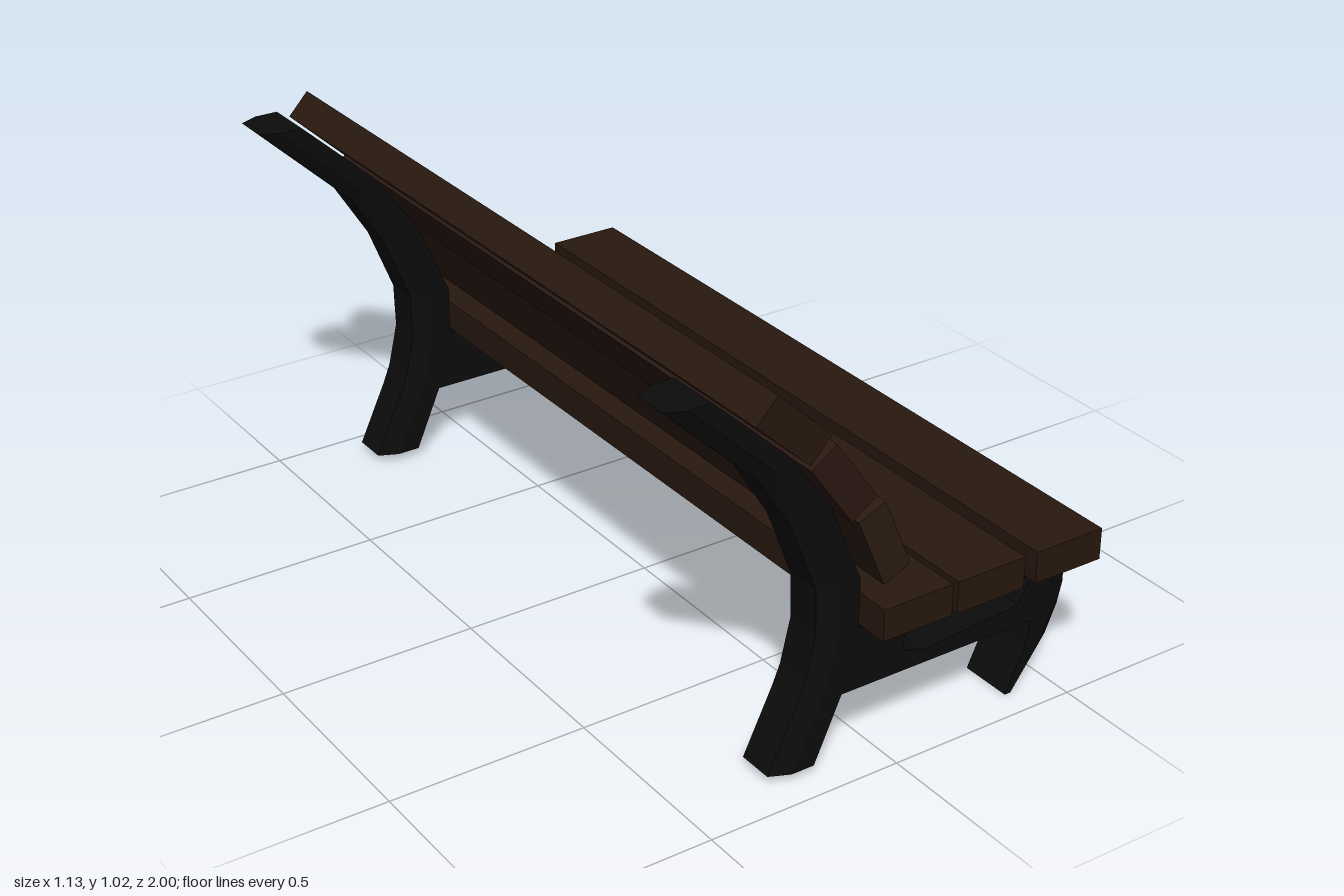
import * as THREE from 'three';

const iron = new THREE.MeshStandardMaterial({ color: 0x0c0c0c, flatShading: true });
const woods = [0x28180f, 0x2b1812, 0x2a1b12].map(
  (color) => new THREE.MeshStandardMaterial({ color, flatShading: true }));

const HALF = 0.0675; // half thickness of the iron frames
const BEVEL = 0.022;

// Leg lofted from bottom to top. Each station is [innerX, innerY, outerX, outerY];
// the outer edge is chamfered. Pass mirrored = true when the outer edge faces +x.
function legGeometry(stations, mirrored) {
  const section = [[0, -HALF], [0.55, -HALF], [1, -HALF + BEVEL],
    [1, HALF - BEVEL], [0.55, HALF], [0, HALF]];
  if (mirrored) section.reverse();
  const n = section.length;
  const pos = [];
  const index = [];
  for (const [ix, iy, ox, oy] of stations) {
    for (const [t, z] of section) pos.push(ix + (ox - ix) * t, iy + (oy - iy) * t, z);
  }
  for (let s = 0; s < stations.length - 1; s++) {
    for (let i = 0; i < n; i++) {
      const a = s * n + i, b = s * n + (i + 1) % n;
      index.push(a, b, b + n, a, b + n, a + n);
    }
  }
  const top = (stations.length - 1) * n;
  for (let i = 1; i < n - 1; i++) {
    index.push(0, i + 1, i, top, top + i, top + i + 1);
  }
  const g = new THREE.BufferGeometry();
  g.setAttribute('position', new THREE.Float32BufferAttribute(pos, 3));
  g.setIndex(index);
  const flat = g.toNonIndexed();
  flat.computeVertexNormals();
  return flat;
}

function addMesh(parent, name, geometry, material) {
  const mesh = new THREE.Mesh(geometry, material);
  mesh.name = name;
  parent.add(mesh);
  return mesh;
}

export function createModel() {
  const bench = new THREE.Group();
  bench.name = 'bench';

  // Curved rear upright: foot to back tip
  const upright = legGeometry([
    [-0.175, 0.02, -0.285, 0.02],
    [-0.105, 0.18, -0.21, 0.18],
    [-0.085, 0.23, -0.19, 0.23],
    [-0.065, 0.34, -0.165, 0.34],
    [-0.065, 0.46, -0.168, 0.455],
    [-0.15, 0.66, -0.235, 0.625],
    [-0.27, 0.825, -0.325, 0.77],
    [-0.46, 1.0, -0.567, 1.0],
  ], false);

  // Curved front leg tapering to the foot
  const frontLeg = legGeometry([
    [0.375, 0, 0.405, 0],
    [0.425, 0.11, 0.505, 0.11],
    [0.44, 0.18, 0.535, 0.18],
    [0.395, 0.235, 0.548, 0.235],
    [0.45, 0.338, 0.548, 0.338],
  ], true);

  // Horizontal rail with the bracket under the rear seat slat
  const railShape = new THREE.Shape([
    [-0.12, 0.18], [0.442, 0.18], [0.397, 0.235], [0.125, 0.215],
    [0.06, 0.235], [0.08, 0.338], [-0.08, 0.338],
  ].map(([x, y]) => new THREE.Vector2(x, y)));
  const rail = new THREE.ExtrudeGeometry(railShape, { depth: 2 * HALF, bevelEnabled: false });
  rail.translate(0, 0, -HALF);

  [['leftSideFrame', 0.86], ['rightSideFrame', -0.89]].forEach(([name, z]) => {
    const frame = new THREE.Group();
    frame.name = name;
    frame.position.z = z;
    addMesh(frame, 'rearUpright', upright, iron);
    addMesh(frame, 'frontLeg', frontLeg, iron);
    addMesh(frame, 'seatRail', rail, iron);
    bench.add(frame);
  });

  // Seat slats
  const seatSlat = new THREE.BoxGeometry(0.19, 0.08, 2);
  [0.04, 0.245, 0.47].forEach((x) => {
    addMesh(bench, 'seatSlat', seatSlat, woods[0]).position.set(x, 0.376, 0);
  });

  // Back slats: centre x, centre y, tilt, thickness
  [
    [-0.31, 0.925, -0.75, 0.078],
    [-0.177, 0.763, -0.95, 0.078],
    [-0.063, 0.584, -1.165, 0.076],
  ].forEach(([x, y, tilt, thick], i) => {
    const slat = addMesh(bench, 'backSlat', new THREE.BoxGeometry(0.19, thick, 2), woods[i]);
    slat.position.set(x, y, 0);
    slat.rotation.z = tilt;
  });

  return bench;
}
